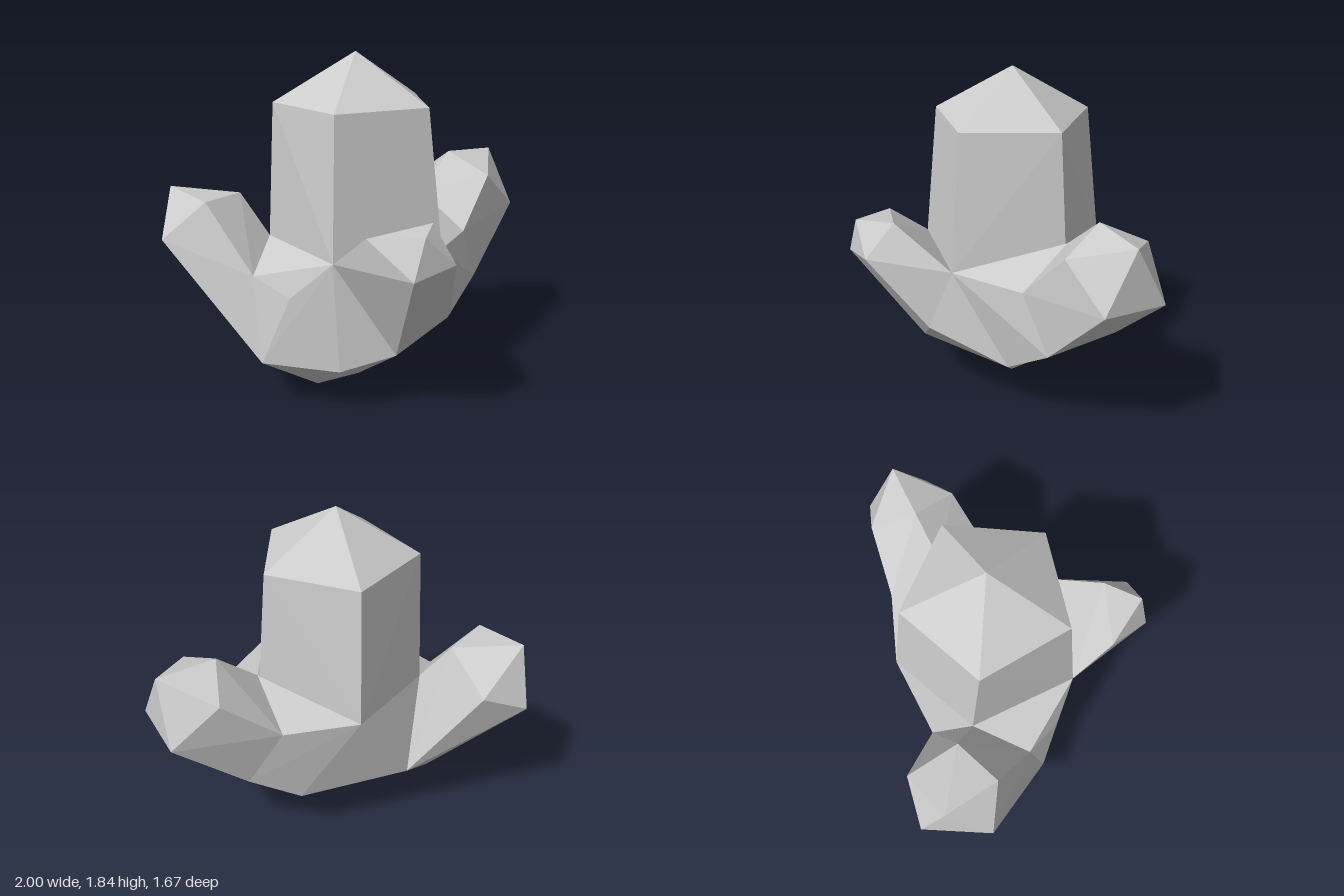
import * as THREE from 'three';
import { ConvexGeometry } from 'three/addons/geometries/ConvexGeometry.js';

const material = new THREE.MeshStandardMaterial({ color: 0xcccccc, flatShading: true });

// Faceted solid spanning the given corner points
function facet(name, ...rings) {
  const points = rings.flat().map((p) => new THREE.Vector3(...p));
  const mesh = new THREE.Mesh(new ConvexGeometry(points), material);
  mesh.name = name;
  return mesh;
}

export function createModel() {
  const group = new THREE.Group();
  group.name = 'crystalCluster';

  // Five-sided central column: foot ring, shoulder ring, point
  const foot = [
    [0.41, 0.84, -0.03], [0.08, 0.84, 0.47], [-0.5, 0.84, 0.28],
    [-0.45, 0.84, -0.33], [0.08, 0.84, -0.51],
  ];
  const shoulder = [
    [0.35, 1.58, -0.03], [0.05, 1.58, 0.39], [-0.44, 1.58, 0.23],
    [-0.44, 1.58, -0.28], [0.05, 1.58, -0.44],
  ];
  group.add(facet('centralCrystal', foot, shoulder, [[-0.08, 1.84, -0.03]]));

  // Rings where the side crystals leave the base
  const rightRoot = [foot[1], foot[4], [0.33, 0.33, 0.29], [0.33, 0.33, -0.32]];
  const frontRoot = [foot[1], foot[2], [0.03, 0.53, 0.59], [-0.24, 0.33, 0.47]];
  const leftRoot = [
    foot[3], [-0.71, 0.72, -0.12], [-0.74, 0.27, -0.02],
    [-0.5, 0.22, -0.39], [-0.26, 0.36, -0.5],
  ];

  // Base that joins everything and tapers to the bottom
  const underside = [
    [-0.08, 0, -0.02], [-0.36, 0.02, -0.04], [-0.48, 0.25, 0.3], [-0.64, 0.64, 0.1],
  ];
  group.add(facet('base', foot, rightRoot, frontRoot, leftRoot, underside));

  // Crystal on +x, bent at the middle ring
  const rightMiddle = [
    [0.41, 1.0, -0.03], [0.45, 0.82, 0.28], [0.45, 0.82, -0.34],
    [0.6, 0.5, 0.23], [0.6, 0.5, -0.23],
  ];
  const rightTip = [
    [0.65, 1.2, -0.04], [0.71, 1.09, 0.22], [0.76, 1.08, -0.27],
    [0.97, 0.87, 0.18], [1.0, 0.85, -0.18], [0.97, 1.18, -0.01],
  ];
  group.add(facet('sideCrystalRoot', rightRoot, rightMiddle));
  group.add(facet('sideCrystalTip', rightMiddle, rightTip));

  // Front crystal
  const frontTip = [
    [-0.49, 1.03, 0.52], [-0.18, 1.08, 0.66], [-0.19, 0.91, 0.83],
    [-0.44, 0.87, 0.8], [-0.36, 1.07, 0.79],
  ];
  group.add(facet('frontCrystal', frontRoot, frontTip));

  // Back corner crystal
  const leftTip = [
    [-0.54, 1.07, -0.47], [-0.81, 1.08, -0.39], [-1.0, 0.88, -0.53],
    [-0.78, 0.79, -0.84], [-0.52, 0.91, -0.77], [-0.83, 1.11, -0.71],
  ];
  group.add(facet('backCrystal', leftRoot, leftTip));

  return group;
}
